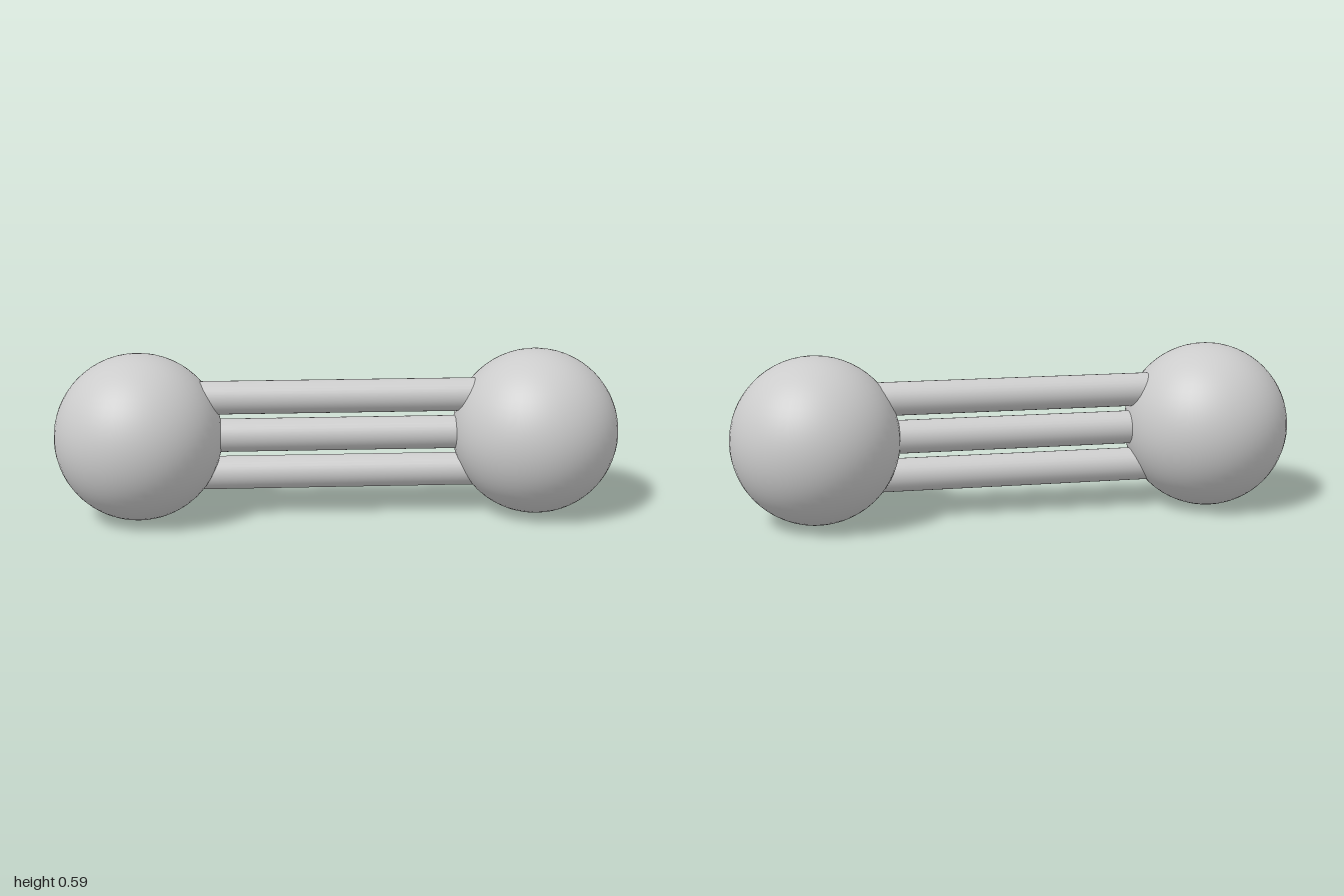
import * as THREE from 'three';

const BALL_RADIUS = 0.295;
const BALL_X = 0.705;
const ROD_RADIUS = 0.059;
const ROD_SPACING = 0.137;

export function createModel() {
  const model = new THREE.Group();
  model.name = 'tripleBondMolecule';
  const material = new THREE.MeshStandardMaterial({ color: 0xcccccc });

  // Two equal balls, one at each end
  const ballGeometry = new THREE.SphereGeometry(BALL_RADIUS, 48, 32);
  for (const [name, side] of [['leftBall', 1], ['rightBall', -1]]) {
    const ball = new THREE.Mesh(ballGeometry, material);
    ball.name = name;
    ball.position.set(side * BALL_X, BALL_RADIUS, 0);
    model.add(ball);
  }

  // Three parallel rods stacked vertically, running between the ball centres
  const rodGeometry = new THREE.CylinderGeometry(ROD_RADIUS, ROD_RADIUS, 2 * BALL_X, 32);
  rodGeometry.rotateZ(Math.PI / 2);
  ['lowerRod', 'middleRod', 'upperRod'].forEach((name, i) => {
    const rod = new THREE.Mesh(rodGeometry, material);
    rod.name = name;
    rod.position.y = BALL_RADIUS + (i - 1) * ROD_SPACING;
    model.add(rod);
  });

  return model;
}
